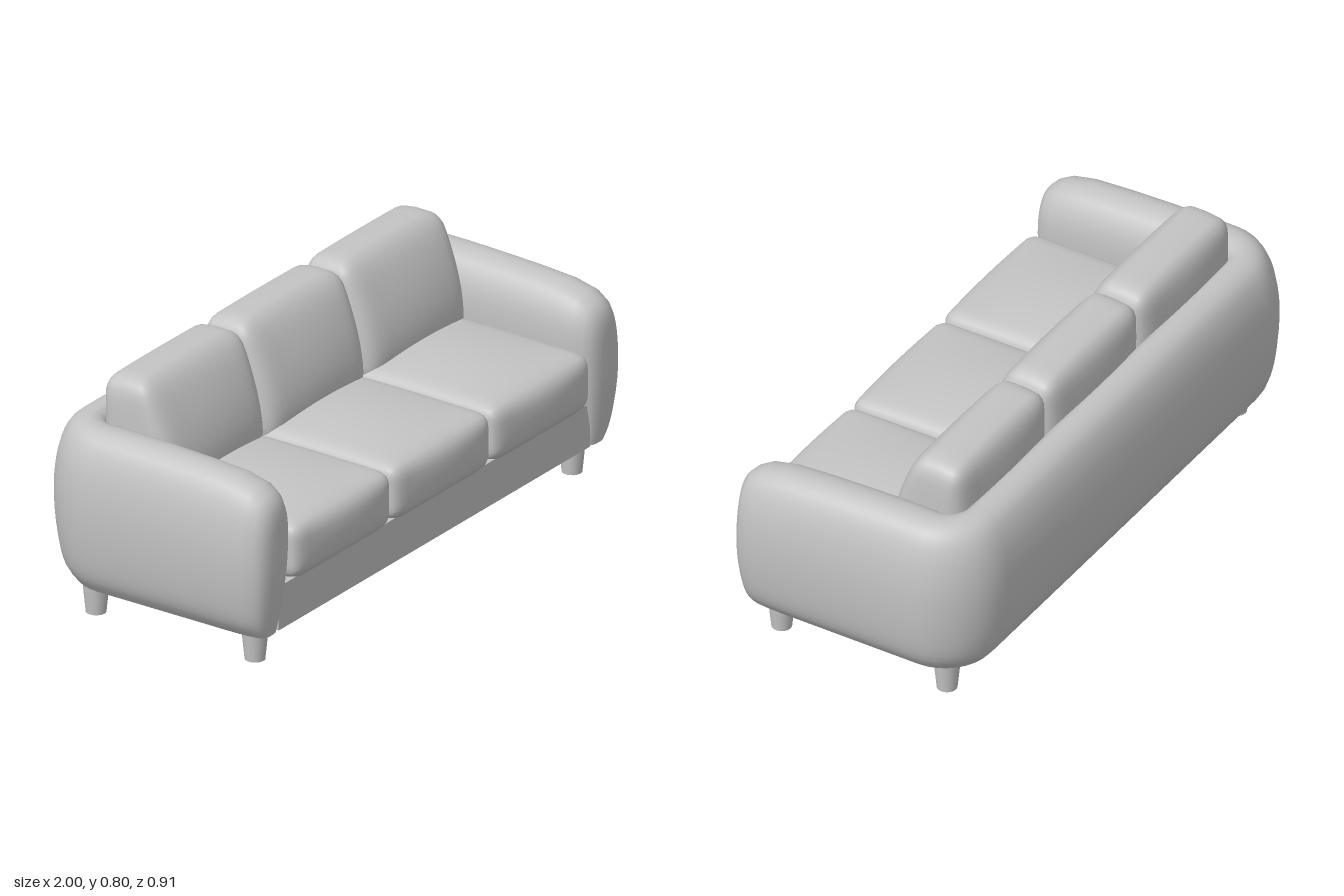
import * as THREE from 'three';
import { mergeVertices, toCreasedNormals } from 'three/addons/utils/BufferGeometryUtils.js';

const fabric = new THREE.MeshStandardMaterial({ color: 0xc4c4c4 });
fabric.name = 'grey fabric';

function addMesh(parent, name, geometry, x = 0, y = 0, z = 0) {
  const mesh = new THREE.Mesh(geometry, fabric);
  mesh.name = name;
  mesh.position.set(x, y, z);
  parent.add(mesh);
  return mesh;
}

// Rounded box whose faces swell towards their middles; shape() may bend it further
function cushionGeometry(w, h, d, r, puff, shape) {
  const raw = new THREE.BoxGeometry(w, h, d, 18, 14, 18);
  raw.deleteAttribute('uv');
  raw.deleteAttribute('normal');
  const geo = mergeVertices(raw);
  const pos = geo.attributes.position;
  const half = new THREE.Vector3(w / 2, h / 2, d / 2);
  const inner = half.clone().subScalar(r);
  const p = new THREE.Vector3(), core = new THREE.Vector3();
  for (let i = 0; i < pos.count; i++) {
    p.fromBufferAttribute(pos, i);
    // denser rows near the edges
    for (const k of ['x', 'y', 'z']) p[k] = half[k] * Math.sin((p[k] / half[k]) * Math.PI / 2);
    core.copy(p).clamp(inner.clone().negate(), inner);
    p.sub(core).normalize().multiplyScalar(r).add(core);
    const u = p.x / half.x, v = p.y / half.y, t = p.z / half.z;
    const bulge = (a, b) => Math.max(0, (1 - a * a) * (1 - b * b));
    p.x += puff.x * u * bulge(v, t);
    p.y += puff.y * v * bulge(u, t);
    p.z += puff.z * t * bulge(u, v);
    if (shape) shape(p);
    pos.setXYZ(i, p.x, p.y, p.z);
  }
  geo.computeVertexNormals();
  return geo;
}

// Arms and back: one padded section swept around a U, with rounded front ends
function shellGeometry() {
  const outline = [
    [0.04, 0.11], [0.075, 0.16], [0.098, 0.25], [0.11, 0.38], [0.107, 0.48], [0.09, 0.57],
    [0.06, 0.63], [0.02, 0.654], [-0.03, 0.654], [-0.07, 0.635], [-0.1, 0.58], [-0.11, 0.5],
    [-0.1, 0.35], [-0.075, 0.2], [-0.07, 0.11],
  ];
  const section = new THREE.CatmullRomCurve3(outline.map(([o, y]) => new THREE.Vector3(o, y, 0))).getPoints(42);

  // front to back along an arm: z, width scale, top height
  const arm = [
    [0.435, 0.25, 0.5], [0.432, 0.5, 0.54], [0.42, 0.7, 0.575], [0.4, 0.84, 0.597], [0.36, 0.95, 0.62],
    [0.28, 1, 0.637], [0.15, 1, 0.646], [0, 1, 0.652], [-0.12, 1, 0.655],
  ];
  const side = arm.map(([z, width, top]) => ({ x: 0.89, z, nx: 1, nz: 0, width, inner: 1, top }));
  for (let i = 0; i <= 8; i++) {
    const a = (i / 8) * Math.PI / 2, c = Math.cos(a), s = Math.sin(a);
    side.push({ x: 0.77 + 0.12 * c, z: -0.225 - 0.12 * s, nx: c, nz: -s, width: 1, inner: 1 - 0.4 * i / 8, top: 0.655 });
  }
  const stations = [...side, ...side.slice().reverse().map((s) => ({ ...s, x: -s.x, nx: -s.nx }))];

  const verts = [], index = [], n = section.length;
  for (const s of stations) {
    const front = THREE.MathUtils.clamp((s.z - 0.2) / 0.23, 0, 1);
    for (const q of section) {
      const o = q.x * s.width * (q.x < 0 ? s.inner : 1);
      const y = 0.11 + (q.y - 0.11) * (s.top - 0.11) / 0.545;
      const tuck = 0.03 * front * Math.max(0, (0.38 - y) / 0.27) ** 2;
      verts.push(s.x + s.nx * o, y, s.z + s.nz * o - tuck);
    }
  }
  for (let j = 0; j < stations.length - 1; j++) {
    for (let i = 0; i < n; i++) {
      const a = j * n + i, b = j * n + (i + 1) % n;
      index.push(a, a + n, b, b, a + n, b + n);
    }
  }
  // front end caps
  const last = (stations.length - 1) * n;
  const c0 = verts.length / 3;
  verts.push(0.89, 0.34, 0.436, -0.89, 0.34, 0.436);
  for (let i = 0; i < n; i++) {
    const k = (i + 1) % n;
    index.push(c0, i, k, c0 + 1, last + k, last + i);
  }
  const geo = new THREE.BufferGeometry();
  geo.setAttribute('position', new THREE.Float32BufferAttribute(verts, 3));
  geo.setIndex(index);
  return toCreasedNormals(geo, 0.9);
}

export function createModel() {
  const sofa = new THREE.Group();
  sofa.name = 'sofa';

  addMesh(sofa, 'armsAndBack', shellGeometry());
  addMesh(sofa, 'base', new THREE.BoxGeometry(1.68, 0.15, 0.75), 0, 0.186, 0.028);

  // seat cushions, with the front edge lower than the crown
  const seat = cushionGeometry(0.534, 0.19, 0.66, 0.045, new THREE.Vector3(0, 0.03, 0.018), (p) => {
    if (p.y < -0.09) p.y = -0.095;
  });
  // back cushions: upright behind, leaning back and thinning in front
  const backrest = cushionGeometry(0.538, 0.4, 0.27, 0.06, new THREE.Vector3(0.006, 0.006, 0.02), (p) => {
    const rise = THREE.MathUtils.clamp((p.y + 0.13) / 0.33, 0, 1);
    const forward = (p.z + 0.135) / 0.27;
    p.z -= 0.1 * rise ** 1.6 * forward;
    p.y -= 0.025 * Math.max(0, 0.5 - forward) * rise;
  });
  for (const i of [-1, 0, 1]) {
    addMesh(sofa, 'seatCushion', seat, i * 0.536, 0.362, 0.11);
    addMesh(sofa, 'backCushion', backrest, i * 0.542, 0.597, -0.168);
  }

  // tapered legs
  const leg = new THREE.CylinderGeometry(0.045, 0.033, 0.12, 16);
  for (const x of [-0.855, 0.855]) {
    for (const z of [0.323, -0.285]) addMesh(sofa, 'leg', leg, x, 0.06, z);
  }
  return sofa;
}
